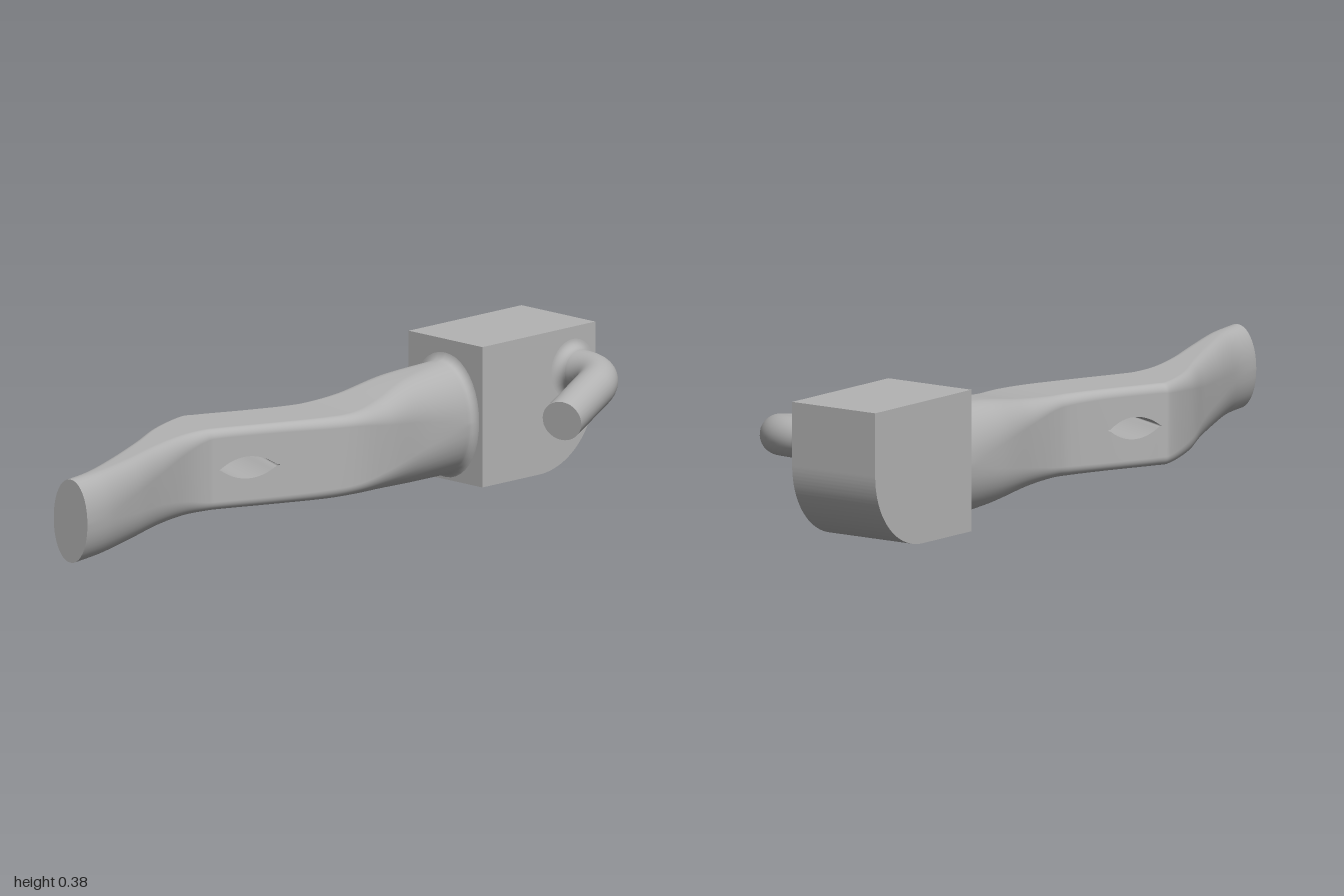
import * as THREE from 'three';
import { mergeVertices, toCreasedNormals } from 'three/addons/utils/BufferGeometryUtils.js';

// arm stations: front x, z | back x, z | bottom y, top y | corner roundness
const STATIONS = [
  [-1, 0.105, -1, -0.02, 0.06, 0.285, 0.97],
  [-0.88, 0.078, -0.88, -0.05, 0.062, 0.284, 0.9],
  [-0.72, 0.018, -0.7, -0.126, 0.064, 0.281, 0.75],
  [-0.56, -0.05, -0.53, -0.203, 0.065, 0.28, 0.6],
  [-0.42, -0.1, -0.39, -0.268, 0.063, 0.28, 0.4],
  [-0.33, -0.114, -0.25, -0.307, 0.06, 0.28, 0.25],
  [-0.28, -0.103, -0.2, -0.294, 0.06, 0.28, 0.22],
  [-0.14, -0.045, -0.07, -0.238, 0.06, 0.28, 0.22],
  [0, 0.012, 0.04, -0.202, 0.06, 0.28, 0.25],
  [0.1, 0.034, 0.11, -0.196, 0.06, 0.281, 0.3],
  [0.22, 0.026, 0.22, -0.207, 0.05, 0.29, 0.5],
  [0.38, -0.002, 0.38, -0.233, 0.03, 0.312, 0.75],
  [0.557, -0.018, 0.557, -0.245, 0.017, 0.323, 0.97],
];

// lofts rows of points; rows run along +x
function loft(rows) {
  const pos = [], idx = [], n = rows[0].length;
  rows.forEach((row) => row.forEach((p) => pos.push(p.x, p.y, p.z)));
  for (let i = 0; i < rows.length - 1; i++) {
    for (let j = 0; j < n - 1; j++) {
      const a = i * n + j, b = a + n;
      idx.push(a, b, b + 1, a, b + 1, a + 1);
    }
  }
  return { pos, idx };
}

function toGeometry(parts) {
  const pos = [], idx = [];
  for (const part of parts) {
    const base = pos.length / 3;
    pos.push(...part.pos);
    idx.push(...part.idx.map((k) => k + base));
  }
  const geo = new THREE.BufferGeometry();
  geo.setAttribute('position', new THREE.Float32BufferAttribute(pos, 3));
  geo.setIndex(idx);
  const merged = mergeVertices(geo, 1e-5);
  merged.computeVertexNormals();
  return merged;
}

function armSections() {
  const spline = (a, b) =>
    new THREE.SplineCurve(STATIONS.map((s) => new THREE.Vector2(s[a], s[b])));
  const front = spline(0, 1), back = spline(2, 3), height = spline(4, 5), round = spline(6, 6);
  const list = [];
  const N = 144;
  for (let i = 0; i <= N; i++) {
    const t = i / N;
    const f = front.getPoint(t), b = back.getPoint(t), h = height.getPoint(t);
    // lens-shaped opening through the middle
    const k = Math.abs((f.x + 0.213) / 0.077);
    const hole = k < 1 ? 0.03 * (1 - k ** 2) : 0;
    list.push({ f, b, lo: h.x, hi: h.y, r: round.getPoint(t).x, hole });
  }
  // small flare where the arm meets the block
  const end = list[N];
  for (let i = 1; i <= 6; i++) {
    const a = (i / 6) * Math.PI / 2, g = 1 - Math.cos(a), x = 0.557 + 0.021 * Math.sin(a);
    list.push({
      f: new THREE.Vector2(x, end.f.y + 0.022 * g),
      b: new THREE.Vector2(x, end.b.y - 0.018 * g),
      lo: end.lo - 0.015 * g, hi: end.hi + 0.028 * g, r: end.r, hole: 0,
    });
  }
  return list;
}

// point in a section: u = 1 front, -1 back; v = distance from mid height
function pointAt(s, u, v) {
  const w = (1 - u) / 2;
  return new THREE.Vector3(
    THREE.MathUtils.lerp(s.f.x, s.b.x, w), (s.lo + s.hi) / 2 + v,
    THREE.MathUtils.lerp(s.f.y, s.b.y, w));
}

// half of a rounded section, from front over the top (or bottom) to back
function halfSection(s, sign) {
  const half = (s.hi - s.lo) / 2, flat = 1 - s.r, Q = 10, pts = [];
  pts.push(pointAt(s, 1, sign * s.hole));
  for (const side of [1, -1]) {
    for (let q = 0; q <= Q; q++) {
      const a = ((side > 0 ? q : Q - q) / Q) * Math.PI / 2;
      pts.push(pointAt(s, side * (flat + s.r * Math.cos(a)), sign * half * (flat + s.r * Math.sin(a))));
    }
  }
  pts.push(pointAt(s, -1, sign * s.hole));
  return sign > 0 ? pts : pts.reverse();
}

export function createModel() {
  const model = new THREE.Group();
  const gray = new THREE.MeshStandardMaterial({ color: 0xb3b3b3 });
  gray.name = 'plainGray';
  const add = (name, geo) => {
    const mesh = new THREE.Mesh(geo, gray);
    mesh.name = name;
    model.add(mesh);
    return mesh;
  };

  // bent arm, upper and lower halves joined outside the hole
  const sections = armSections();
  add('arm', toGeometry([1, -1].map((sign) => loft(sections.map((s) => halfSection(s, sign))))));

  // inner walls of the through hole
  const first = sections.findIndex((s) => s.hole > 0);
  const count = sections.filter((s) => s.hole > 0).length;
  const open = sections.slice(first - 1, first + count + 1);
  add('holeWall', toGeometry([1, -1].map((sign) =>
    loft(open.map((s) => [pointAt(s, -sign, sign * s.hole), pointAt(s, sign, sign * s.hole)])))));

  // flat end of the arm
  const rim = [...halfSection(sections[0], 1), ...halfSection(sections[0], -1)];
  const capPos = [-1, (sections[0].lo + sections[0].hi) / 2, 0.0425], capIdx = [];
  rim.forEach((p, i) => {
    capPos.push(p.x, p.y, p.z);
    capIdx.push(0, i + 1, ((i + 1) % rim.length) + 1);
  });
  add('armEnd', toGeometry([{ pos: capPos, idx: capIdx }]));

  // block with one rounded lower edge
  const outline = new THREE.Shape();
  outline.moveTo(0.577, 0);
  outline.lineTo(0.79, 0);
  outline.absarc(0.79, 0.21, 0.21, -Math.PI / 2, 0, false);
  outline.lineTo(1, 0.38);
  outline.lineTo(0.577, 0.38);
  outline.closePath();
  const blockGeo = new THREE.ExtrudeGeometry(outline, { depth: 0.274, bevelEnabled: false, curveSegments: 32 });
  blockGeo.translate(0, 0, -0.264);
  add('block', toCreasedNormals(blockGeo, 0.5));

  // bent rod
  const V = (x, y, z) => new THREE.Vector3(x, y, z);
  const start = V(0.915, 0.267, -0.01), bendA = V(0.915, 0.267, 0.045);
  const knee = V(0.915, 0.267, 0.134), bendB = V(0.83, 0.25, 0.169), tip = V(0.632, 0.21, 0.251);
  const path = new THREE.CurvePath();
  path.add(new THREE.LineCurve3(start, bendA));
  path.add(new THREE.QuadraticBezierCurve3(bendA, knee, bendB));
  path.add(new THREE.LineCurve3(bendB, tip));
  add('rod', new THREE.TubeGeometry(path, 60, 0.055, 32, false));
  const rodEnd = add('rodEnd', new THREE.CircleGeometry(0.055, 32));
  rodEnd.position.copy(tip);
  rodEnd.quaternion.setFromUnitVectors(V(0, 0, 1), tip.clone().sub(bendB).normalize());

  // fillet at the foot of the rod
  const profile = [];
  for (let i = 0; i <= 8; i++) {
    const a = (i / 8) * Math.PI / 2;
    profile.push(new THREE.Vector2(0.08 - 0.025 * Math.sin(a), 0.025 * (1 - Math.cos(a))));
  }
  const fillet = add('rodFillet', new THREE.LatheGeometry(profile, 32));
  fillet.rotation.x = Math.PI / 2;
  fillet.position.set(0.915, 0.267, 0.01);

  return model;
}
